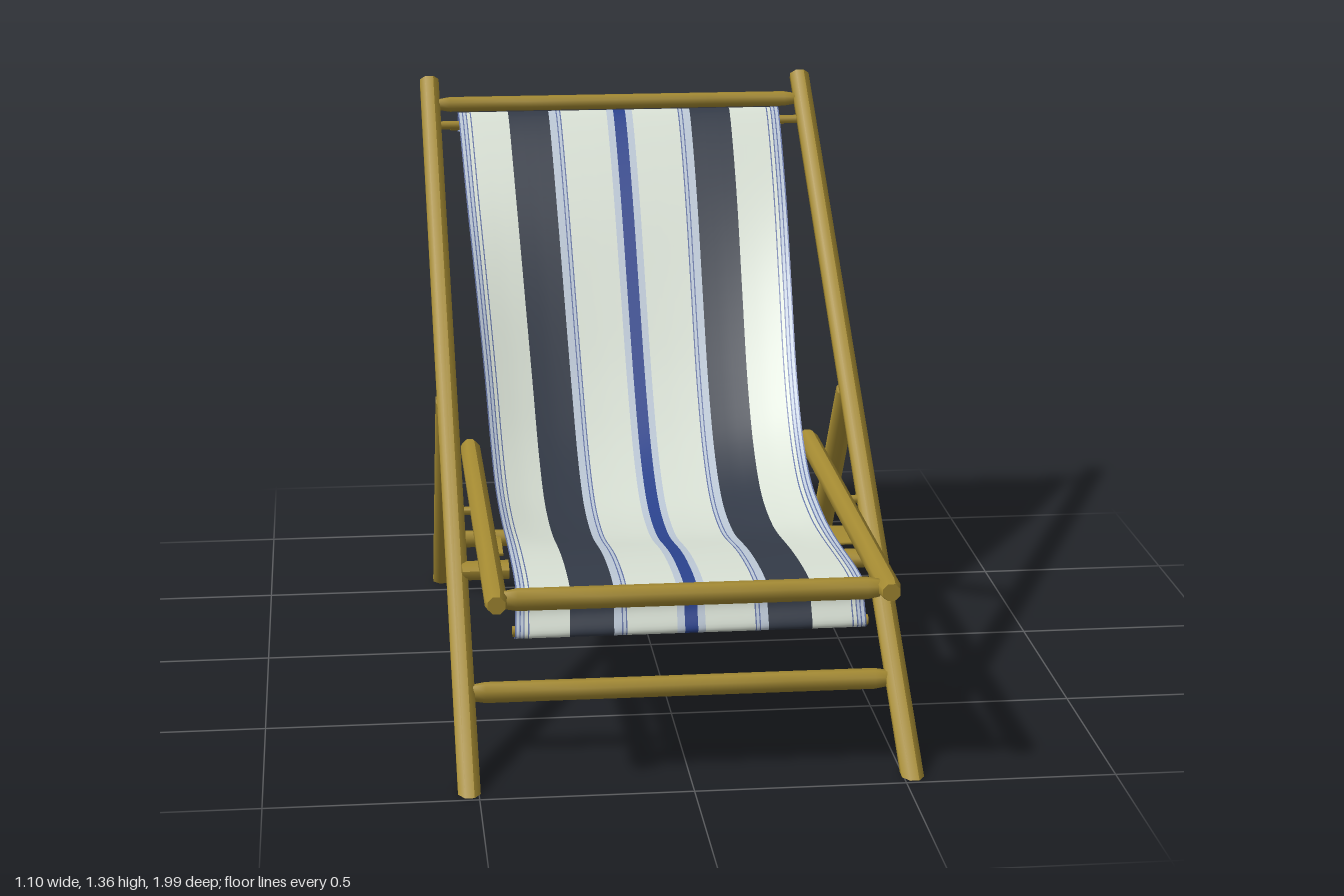
import * as THREE from 'three';

const mat = (name, color, extra = {}) => {
  const m = new THREE.MeshStandardMaterial({ color, ...extra });
  m.name = name;
  return m;
};

export function createModel() {
  const model = new THREE.Group();
  model.name = 'deckChair';
  const two = { side: THREE.DoubleSide };
  const wood = mat('ochre wood', 0xa48a32);
  const cream = mat('cream canvas', 0xdae2d6, two);
  const dark = mat('dark slate stripe', 0x343b48, two);
  const blue = mat('blue stripe', 0x2c4490, two);
  const pale = mat('pale blue stripe', 0xbecad8, two);
  const line = mat('thin blue line', 0x6474a6, two);

  // Eight-sided pole between two points; foot trims its start flat on the floor
  function pole(name, a, b, rx, rz, { foot = false, taper = 0 } = {}) {
    const A = new THREE.Vector3(...a), B = new THREE.Vector3(...b);
    const dir = B.clone().sub(A), len = dir.length();
    dir.normalize();
    const geo = new THREE.CylinderGeometry(1, 1, len, 8, taper ? 8 : 1);
    geo.rotateY(Math.PI / 8);
    const p = geo.attributes.position;
    for (let i = 0; i < p.count; i++) {
      const y = p.getY(i), end = Math.abs(y) > len / 2 - 1e-4;
      const k = (end && taper ? taper : 1) * 1.05;
      if (taper && !end && Math.abs(y) > len * 0.3) p.setY(i, Math.sign(y) * (len / 2 - 0.03));
      p.setX(i, p.getX(i) * rx * k);
      p.setZ(i, p.getZ(i) * rz * k);
    }
    // local x stays as close to the chair's x as the direction allows
    const side = Math.abs(dir.x) > 0.9 ? new THREE.Vector3(0, 1, 0) : new THREE.Vector3(1, 0, 0);
    side.addScaledVector(dir, -side.dot(dir)).normalize();
    const m = new THREE.Matrix4().makeBasis(side, dir, side.clone().cross(dir));
    m.setPosition(A.clone().add(B).multiplyScalar(0.5));
    geo.applyMatrix4(m);
    if (foot) {
      const v = new THREE.Vector3();
      for (let i = 0; i < p.count; i++) {
        v.fromBufferAttribute(p, i);
        if (v.distanceTo(A) < len / 2) v.addScaledVector(dir, -v.y / dir.y);
        p.setXYZ(i, v.x, v.y, v.z);
      }
    }
    geo.computeVertexNormals();
    const mesh = new THREE.Mesh(geo, wood);
    mesh.name = name;
    model.add(mesh);
  }

  const bar = (name, half, y, z, r, taper = 0) =>
    pole(name, [-half, y, z], [half, y, z], r, r, { taper });

  // Side frames
  for (const s of [1, -1]) {
    const n = s > 0 ? 'left' : 'right';
    pole(n + 'MainRail', [s * 0.522, 0, 0.95], [s * 0.524, 1.34, -0.98], 0.027, 0.023, { foot: true });
    pole(n + 'RearLeg', [s * 0.524, 0, -0.585], [s * 0.524, 0.665, -0.07], 0.028, 0.025, { foot: true });
    pole(n + 'SeatRail', [s * 0.455, 0.472, 1.0], [s * 0.455, 0.47, -0.3], 0.026, 0.026, { taper: 0.8 });
    // Support peg from the main rail under the seat rail, with a thin wedge on it
    pole(n + 'SupportPeg', [s * 0.395, 0.365, 0.425], [s * 0.51, 0.365, 0.425], 0.021, 0.035);
    pole(n + 'SupportWedge', [s * 0.41, 0.418, 0.4], [s * 0.465, 0.418, 0.4], 0.008, 0.07);
    // Pivot joining seat rail and main rail
    pole(n + 'Pivot', [s * 0.44, 0.47, 0.27], [s * 0.525, 0.47, 0.27], 0.01, 0.01);
  }

  // Crossbars and dowels
  bar('topBar', 0.5, 1.287, -0.908, 0.02, 0.75);
  bar('frontStretcher', 0.5, 0.155, 0.715, 0.024, 0.8);
  bar('rearStretcher', 0.51, 0.155, -0.47, 0.022, 0.8);
  bar('seatFrontBar', 0.435, 0.469, 0.952, 0.025, 0.8);
  bar('upperDowel', 0.5, 1.238, -0.855, 0.011);
  bar('lowerDowel', 0.44, 0.455, 0.885, 0.011);
  bar('topClothDowel', 0.47, 1.226, -0.908, 0.012);
  bar('frontClothDowel', 0.415, 0.379, 0.916, 0.012);

  // Canvas edge path: x holds the half width, then height and depth
  const path = new THREE.CatmullRomCurve3([
    [0.45, 1.211, -0.9], [0.45, 1.218, -0.924], [0.45, 1.245, -0.912], [0.45, 1.268, -0.885],
    [0.449, 1.258, -0.85], [0.44, 1.078, -0.64], [0.427, 0.872, -0.43], [0.416, 0.682, -0.25],
    [0.411, 0.55, -0.1], [0.408, 0.472, 0.06], [0.405, 0.448, 0.27], [0.402, 0.452, 0.5],
    [0.405, 0.474, 0.86], [0.406, 0.468, 0.9], [0.408, 0.42, 0.912], [0.41, 0.372, 0.932],
    [0.41, 0.362, 0.916], [0.41, 0.375, 0.9],
  ].map(p => new THREE.Vector3(...p)));
  const rows = path.getPoints(102);

  const canvas = new THREE.Group();
  canvas.name = 'canvasSling';
  model.add(canvas);

  // One stripe of canvas between two fractions of the half width, sagging in the middle
  function stripe(name, u0, u1, material) {
    const cols = Math.max(1, Math.ceil((u1 - u0) / 0.1));
    const geo = new THREE.PlaneGeometry(1, 1, cols, rows.length - 1);
    const p = geo.attributes.position;
    for (let i = 0; i < p.count; i++) {
      const r = rows[Math.floor(i / (cols + 1))];
      const u = u0 + (u1 - u0) * (i % (cols + 1)) / cols;
      const sag = 0.06 * (1 - Math.abs(u) ** 3) * Math.exp(-(((r.z + 0.04) / 0.52) ** 4));
      p.setXYZ(i, u * r.x, r.y - sag, r.z - sag * 0.4);
    }
    geo.computeVertexNormals();
    const mesh = new THREE.Mesh(geo, material);
    mesh.name = name;
    canvas.add(mesh);
  }

  stripe('centreStripe', -0.037, 0.037, blue);
  // Stripes from the centre outward: outer edge and colour
  const bands = [
    [0.08, pale], [0.365, cream], [0.372, line], [0.388, pale], [0.395, line], [0.44, pale],
    [0.69, dark], [0.92, cream], [0.927, line], [0.946, cream], [0.953, line], [0.968, pale],
    [0.975, line], [0.992, pale], [1, line],
  ];
  for (const s of [1, -1]) {
    let from = 0.037;
    for (const [to, m] of bands) {
      stripe((s > 0 ? 'left ' : 'right ') + m.name, s > 0 ? from : -to, s > 0 ? to : -from, m);
      from = to;
    }
  }
  return model;
}
